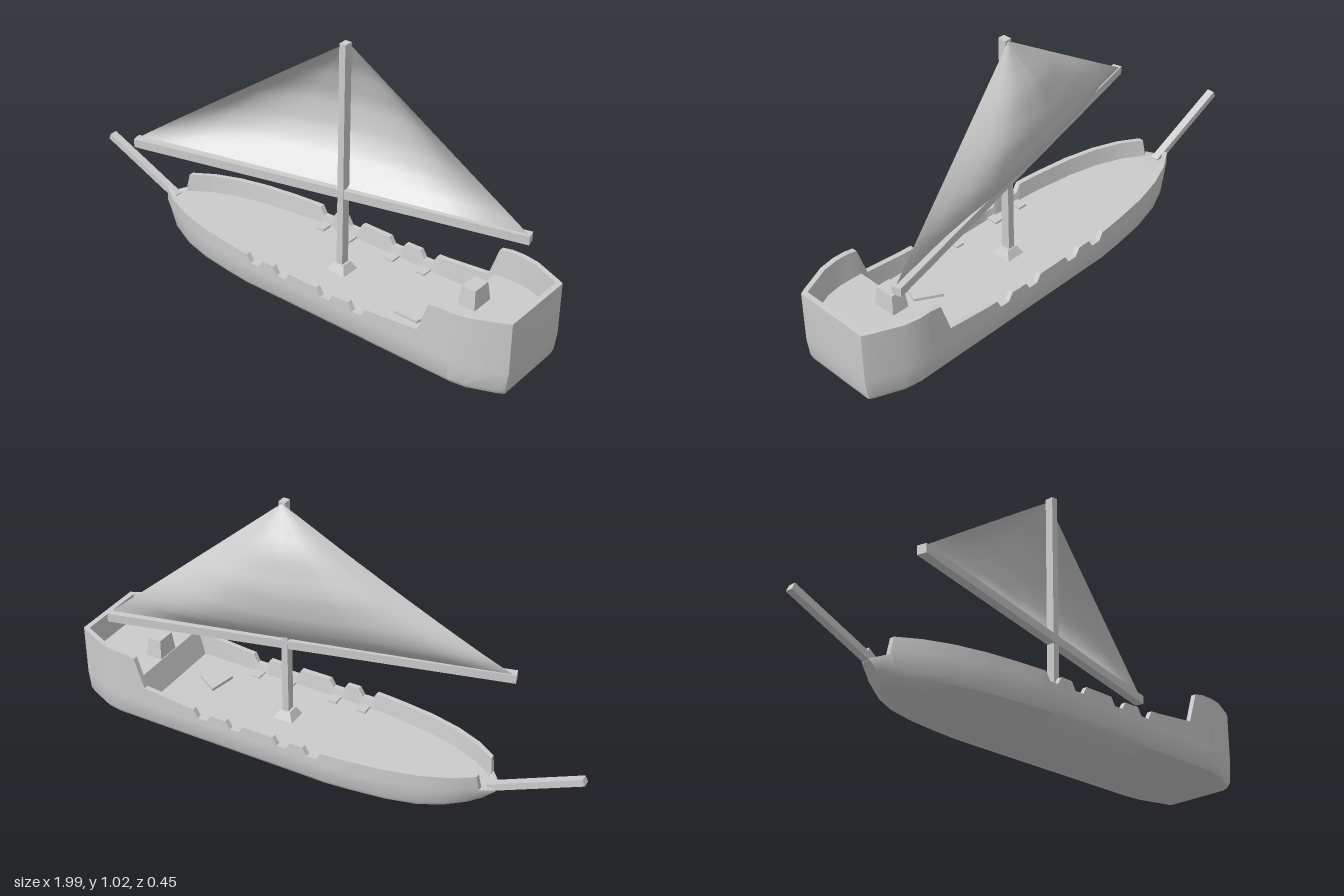
import * as THREE from 'three';
import { toCreasedNormals } from 'three/addons/utils/BufferGeometryUtils.js';

const grey = new THREE.MeshStandardMaterial({ color: 0xcccccc });
const greyDouble = new THREE.MeshStandardMaterial({ color: 0xcccccc, side: THREE.DoubleSide });

// Piecewise linear lookup in a list of [x, value]
function lookup(table, x) {
  if (x <= table[0][0]) return table[0][1];
  for (let i = 1; i < table.length; i++) {
    const [x0, v0] = table[i - 1], [x1, v1] = table[i];
    if (x <= x1) return v0 + (v1 - v0) * (x - x0) / (x1 - x0);
  }
  return table[table.length - 1][1];
}

function add(group, name, geometry, material = grey) {
  const mesh = new THREE.Mesh(geometry, material);
  mesh.name = name;
  group.add(mesh);
  return mesh;
}

// Square beam between two points
function beam(group, name, a, b, height, width) {
  const dir = b.clone().sub(a);
  const mesh = add(group, name, new THREE.BoxGeometry(dir.length(), height, width));
  mesh.position.copy(a).lerp(b, 0.5);
  mesh.quaternion.setFromUnitVectors(new THREE.Vector3(1, 0, 0), dir.normalize());
}

// Four-sided block that narrows towards the top
function taperedBlock(group, name, width, height, depth, taper) {
  const geometry = new THREE.BoxGeometry(width, height, depth).toNonIndexed();
  const p = geometry.attributes.position;
  for (let i = 0; i < p.count; i++) {
    if (p.getY(i) > 0) p.setXYZ(i, p.getX(i) * taper, p.getY(i), p.getZ(i) * taper);
  }
  geometry.computeVertexNormals();
  return add(group, name, geometry);
}

// Hull curves along x, from bow (-x) to stern (+x)
const halfWidth = [[-0.68, 0.02], [-0.63, 0.07], [-0.55, 0.122], [-0.45, 0.163], [-0.33, 0.193],
  [-0.2, 0.211], [-0.1, 0.221], [0.8, 0.221], [0.86, 0.21], [0.975, 0.16], [0.992, 0.15]];
const keelY = [[-0.68, 0.035], [-0.55, 0.018], [-0.3, 0.01], [0, 0.002], [0.4, 0.002], [0.992, 0.027]];
const keelWidth = [[-0.68, 0.5], [0.8, 0.5], [0.992, 0.85]];
const chineY = [[-0.68, 0.055], [-0.5, 0.043], [0.8, 0.042], [0.992, 0.036]];
const railY = [[-0.68, 0.105], [-0.636, 0.12], [-0.628, 0.18], [0.35, 0.175], [0.5, 0.183],
  [0.67, 0.2], [0.71, 0.318], [0.75, 0.326], [0.992, 0.33]];
const deckY = [[-0.68, 0.105], [-0.6, 0.11], [0.675, 0.115], [0.705, 0.22], [0.992, 0.225]];
const notches = [-0.05, 0.075, 0.275, 0.415];

// One closed cross-section, from the +z keel round over the deck to the -z keel
function section(x, deck) {
  const w = lookup(halfWidth, x), keel = lookup(keelY, x), chine = lookup(chineY, x);
  let rail = lookup(railY, x);
  for (const n of notches) {
    const t = THREE.MathUtils.clamp((0.037 - Math.abs(x - n)) / 0.018, 0, 1);
    rail += (0.146 - rail) * t;
  }
  const floor = Math.min(deck ?? lookup(deckY, x), rail);
  const rake = 0.065 * Math.max(0, 1 - (x + 0.68) / 0.3) - 0.022 * Math.max(0, (x - 0.9) / 0.09);
  const wall = Math.min(0.02, w * 0.3);
  const half = [
    [x + rake, keel, w * lookup(keelWidth, x)],
    [x + rake * 0.7, chine, w * 0.94],
    [x + rake * 0.4, chine + 0.02, w],
    [x, Math.min(0.13, rail - 0.005), w],
    [x, rail, w],
    [x, rail, w - wall],
    [x, floor, w - wall * 1.4],
  ];
  return [...half, ...half.slice().reverse().map(([a, b, c]) => [a, b, -c])];
}

function hullGeometry() {
  const xs = new Set();
  for (const table of [halfWidth, keelY, railY, deckY]) table.forEach(([x]) => xs.add(x));
  for (const n of notches) [-0.037, -0.019, 0.019, 0.037].forEach(d => xs.add(n + d));
  const stations = [...xs].filter(x => x < 0.97).sort((a, b) => a - b).map(x => section(x));
  // Inner face of the transom, then the transom itself
  stations.push(section(0.97), section(0.971, 1), section(0.992, 1));
  const pos = [];
  const quad = (a, b, c, d) => pos.push(...a, ...b, ...c, ...a, ...c, ...d);
  const count = stations[0].length;
  for (let i = 0; i < stations.length - 1; i++) {
    const p = stations[i], q = stations[i + 1];
    for (let j = 0; j < count; j++) {
      const k = (j + 1) % count;
      quad(p[j], q[j], q[k], p[k]);
    }
  }
  // Bow and stern closed in strips across the hull
  const bow = stations[0], stern = stations[stations.length - 1];
  for (let j = 0; j < count / 2 - 1; j++) {
    const k = count - 1 - j;
    quad(bow[j], bow[j + 1], bow[k - 1], bow[k]);
    quad(stern[k], stern[k - 1], stern[j + 1], stern[j]);
  }
  const geometry = new THREE.BufferGeometry();
  geometry.setAttribute('position', new THREE.Float32BufferAttribute(pos, 3));
  return toCreasedNormals(geometry, 0.6);
}

// Triangular sail hung from the masthead, bellied out behind the boom:
// depth of the belly from foot to head, and its share from -x edge to +x edge
const bellyUp = [[0, 0], [0.12, 0.08], [0.27, 0.127], [0.48, 0.14], [0.73, 0.1], [1, 0]];
const bellyAcross = [[0, 0.12], [0.09, 0.58], [0.25, 0.86], [0.5, 0.98], [0.7, 0.86], [0.82, 0.66], [1, 0]];

function sailGeometry(foot0, foot1, apex) {
  const geometry = new THREE.PlaneGeometry(1, 1, 16, 16);
  const p = geometry.attributes.position, v = new THREE.Vector3();
  const belly = new THREE.Vector3(-0.24, 0, -0.97);
  for (let i = 0; i < p.count; i++) {
    const s = p.getX(i) + 0.5, t = p.getY(i) + 0.5;
    v.copy(foot0).lerp(foot1, s).lerp(apex, t)
      .addScaledVector(belly, lookup(bellyUp, t) * lookup(bellyAcross, s));
    p.setXYZ(i, v.x, v.y, v.z);
  }
  geometry.computeVertexNormals();
  return geometry;
}

export function createModel() {
  const ship = new THREE.Group();
  ship.name = 'sailingShip';
  const V = (x, y, z) => new THREE.Vector3(x, y, z);

  add(ship, 'hull', hullGeometry());

  // Mast with a tapered foot
  add(ship, 'mast', new THREE.BoxGeometry(0.026, 0.92, 0.034)).position.set(0.178, 0.56, 0);
  taperedBlock(ship, 'mastFoot', 0.08, 0.035, 0.08, 0.55).position.set(0.178, 0.128, 0);

  // Spars
  beam(ship, 'boom', V(-0.64, 0.439, 0.207), V(0.848, 0.439, -0.168), 0.034, 0.036);
  beam(ship, 'bowsprit', V(-0.993, 0.253, 0.005), V(-0.645, 0.1, 0), 0.026, 0.03);

  add(ship, 'sail', sailGeometry(V(-0.63, 0.457, 0.19), V(0.84, 0.457, -0.16), V(0.178, 1.015, -0.016)), greyDouble);

  // Low sills on the deck inside each gunport
  for (const x of notches) {
    for (const side of [-1, 1]) {
      add(ship, 'gunportSill', new THREE.BoxGeometry(0.036, 0.01, 0.05)).position.set(x, 0.115, side * 0.175);
    }
  }

  // Skewed hatch coaming on the main deck
  const outline = (k) => [[-0.058, 0.046], [-0.037, -0.064], [0.055, -0.01], [0.038, 0.046]]
    .map(([x, z]) => new THREE.Vector2(x * k, -z * k));
  const hatch = new THREE.Shape(outline(1));
  hatch.holes.push(new THREE.Path(outline(0.8)));
  const coaming = add(ship, 'hatchCoaming',
    new THREE.ExtrudeGeometry(hatch, { depth: 0.016, bevelEnabled: false }));
  coaming.rotation.x = -Math.PI / 2;
  coaming.position.set(0.545, 0.11, 0.054);

  // Tapered locker on the raised stern deck
  taperedBlock(ship, 'sternLocker', 0.068, 0.075, 0.095, 0.8).position.set(0.742, 0.257, -0.007);

  return ship;
}
